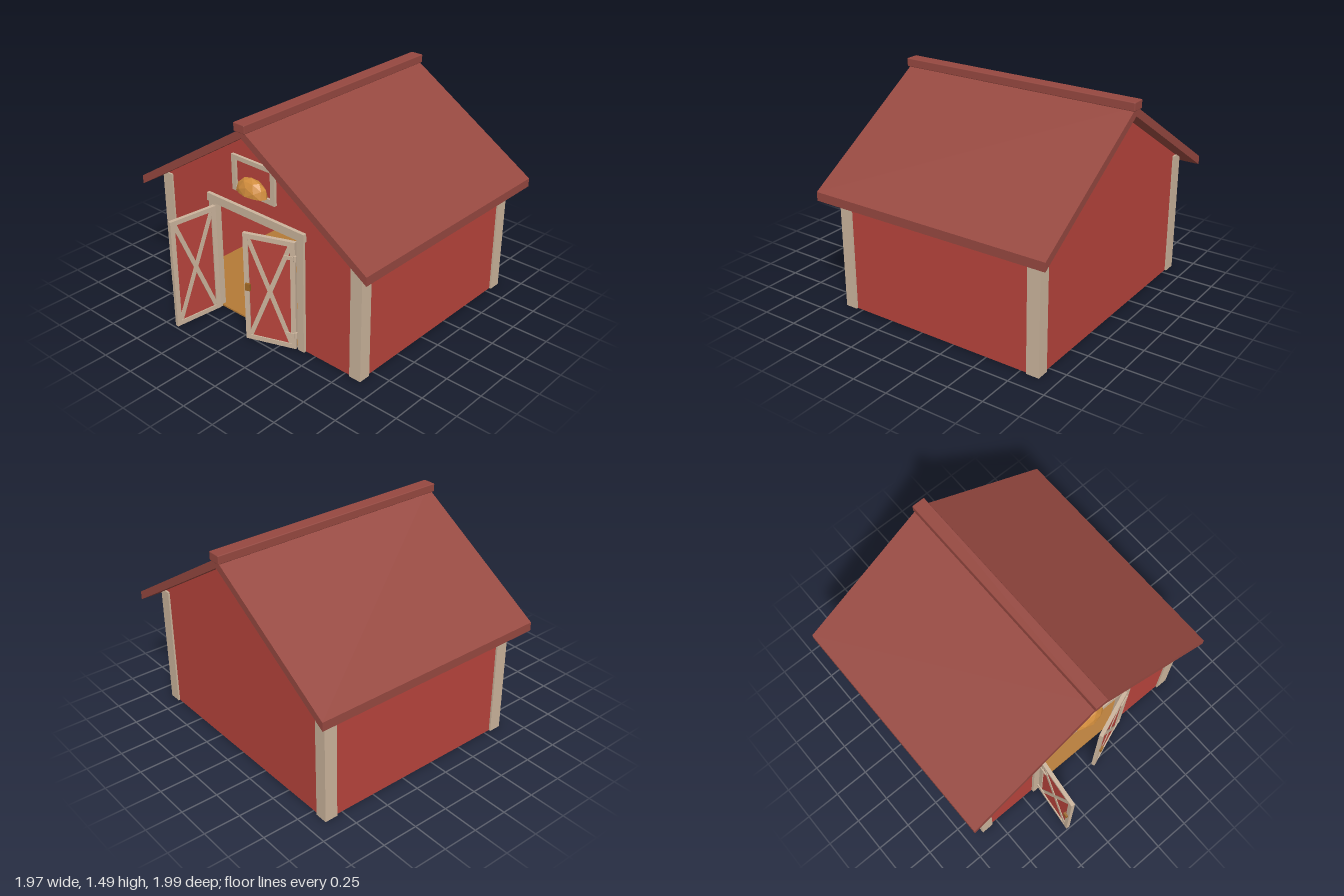
import * as THREE from 'three';
import { RoundedBoxGeometry } from 'three/addons/geometries/RoundedBoxGeometry.js';

const mat = (name, color) => {
  const m = new THREE.MeshStandardMaterial({ color });
  m.name = name;
  return m;
};

export function createModel() {
  const red = mat('barnRed', 0xb8443c);
  const roofRed = mat('roofRed', 0x964840);
  const trim = mat('creamTrim', 0xcbb49c);
  const hay = mat('hayGold', 0xd08c3c);
  const wood = mat('floorWood', 0xb47a36);
  const brass = mat('handleBrown', 0x9c6524);

  const barn = new THREE.Group();
  barn.name = 'barn';

  const add = (parent, name, geometry, material, x = 0, y = 0, z = 0) => {
    const m = new THREE.Mesh(geometry, material);
    m.name = name;
    m.position.set(x, y, z);
    parent.add(m);
    return m;
  };
  // Box given by its limits on each axis
  const box = (parent, name, material, [x0, x1], [y0, y1], [z0, z1]) =>
    add(parent, name, new THREE.BoxGeometry(Math.abs(x1 - x0), y1 - y0, z1 - z0), material,
      (x0 + x1) / 2, (y0 + y1) / 2, (z0 + z1) / 2);
  const polygon = (points) => new THREE.Shape(points.map(([x, y]) => new THREE.Vector2(x, y)));
  const extrude = (shape, depth) => new THREE.ExtrudeGeometry(shape, { depth, bevelEnabled: false });

  // Gable walls; the front one is cut around the doorway
  const W = 0.865, eave = 0.85, peak = 1.395;
  const front = polygon([[-W, 0], [-0.385, 0], [-0.385, 0.81], [0.385, 0.81], [0.385, 0],
    [W, 0], [W, eave], [0, peak], [-W, eave]]);
  add(barn, 'frontWall', extrude(front, 0.03), red, 0, 0, 0.59);
  const back = polygon([[-W, 0], [W, 0], [W, eave], [0, peak], [-W, eave]]);
  add(barn, 'backWall', extrude(back, 0.03), red, 0, 0, -0.875);

  // Side walls, corner posts and door jambs
  for (const s of [-1, 1]) {
    box(barn, 'sideWall', red, [s * 0.835, s * W], [0, eave], [-0.845, 0.59]);
    box(barn, 'frontCornerPost', trim, [s * 0.79, s * 0.878], [0, 0.868], [0.545, 0.632]);
    box(barn, 'backCornerPost', trim, [s * 0.79, s * 0.878], [0, 0.868], [-0.887, -0.797]);
    box(barn, 'doorJamb', trim, [s * 0.365, s * 0.418], [0, 0.81], [0.585, 0.64]);
  }
  box(barn, 'doorLintel', trim, [-0.428, 0.428], [0.805, 0.862], [0.585, 0.645]);
  box(barn, 'floor', wood, [-0.84, 0.84], [0.003, 0.015], [-0.85, 0.615]);

  // Roof slabs as one chevron section, and the ridge cap
  const roof = polygon([[0, 1.452], [-0.985, 0.832], [-0.985, 0.772], [0, 1.392],
    [0.985, 0.772], [0.985, 0.832]]);
  add(barn, 'roof', extrude(roof, 1.71), roofRed, 0, 0, -0.985);
  add(barn, 'ridgeCap', new RoundedBoxGeometry(0.095, 0.058, 1.735, 1, 0.006), roofRed, 0, 1.461, -0.1285);

  // Loft window: frame, panel and spilling hay
  const frame = polygon([[-0.185, 0.965], [0.185, 0.965], [0.185, 1.21], [-0.185, 1.21]]);
  frame.holes.push(polygon([[-0.15, 1], [-0.15, 1.18], [0.15, 1.18], [0.15, 1]]));
  add(barn, 'windowFrame', extrude(frame, 0.025), trim, 0, 0, 0.615);
  box(barn, 'windowPanel', red, [-0.15, 0.15], [1, 1.18], [0.618, 0.624]);
  const heap = new THREE.IcosahedronGeometry(1, 1);
  const p = heap.attributes.position;
  for (let i = 0; i < p.count; i++) p.setY(i, Math.max(p.getY(i), 0));
  heap.scale(0.124, 0.105, 0.065);
  heap.rotateZ(-0.03);
  heap.computeVertexNormals();
  add(barn, 'windowHay', heap, hay, 0.002, 1, 0.65);

  // Hinged door: hinge at the local origin, outside towards +z
  const L = 0.35, y0 = 0.012, y1 = 0.79, edge = 0.033;
  const door = (name, s, x, angle) => {
    const g = new THREE.Group();
    g.name = name;
    g.position.set(x, 0, 0.645);
    g.rotation.y = angle;
    const part = (n, m, [a, b], ys, zs) => box(g, n, m, [-s * a, -s * b], ys, zs);
    part('doorPanel', red, [0.02, L - 0.02], [y0 + 0.02, y1 - 0.02], [-0.005, 0.005]);
    part('hingeStile', trim, [0, edge], [y0, y1], [-0.013, 0.013]);
    part('latchStile', trim, [L - edge, L], [y0, y1], [-0.013, 0.013]);
    part('topRail', trim, [edge, L - edge], [y1 - edge, y1], [-0.013, 0.013]);
    part('bottomRail', trim, [edge, L - edge], [y0, y0 + edge], [-0.013, 0.013]);
    // Crossed braces show on both faces
    const w = L - 2 * edge, h = y1 - y0 - 2 * edge;
    for (const d of [-1, 1]) {
      const brace = add(g, 'crossBrace', new THREE.BoxGeometry(0.03, Math.hypot(w, h) - 0.01, 0.02 + d * 0.001),
        trim, -s * L / 2, (y0 + y1) / 2, 0);
      brace.rotation.z = d * Math.atan2(w, h);
    }
    for (const y of [0.12, 0.68]) {
      part('hingeStrap', trim, [-0.005, 0.07], [y - 0.012, y + 0.012], [0.012, 0.02]);
      add(g, 'hingePin', new THREE.CylinderGeometry(0.01, 0.01, 0.04, 10), trim, 0, y, 0.014);
    }
    part('handle', brass, [L - 0.045, L - 0.012], [0.385, 0.435], [0.012, 0.028]);
    barn.add(g);
  };
  door('rightHandDoor', 1, 0.362, 0.36);
  door('leftHandDoor', -1, -0.362, -(Math.PI / 2 + 0.11));

  // Stacked hay bales, each with two raised straps
  const bale = (x, y, z) => {
    const g = new THREE.Group();
    g.name = 'hayBale';
    g.position.set(x, y, z);
    add(g, 'baleBody', new RoundedBoxGeometry(0.35, 0.15, 0.2, 2, 0.018), hay);
    for (const s of [-1, 1])
      add(g, 'baleStrap', new RoundedBoxGeometry(0.014, 0.158, 0.208, 1, 0.005), hay, s * 0.088, 0, 0);
    barn.add(g);
  };
  bale(-0.245, 0.092, -0.65);
  bale(-0.605, 0.092, -0.65);
  bale(-0.435, 0.25, -0.65);

  return barn;
}
